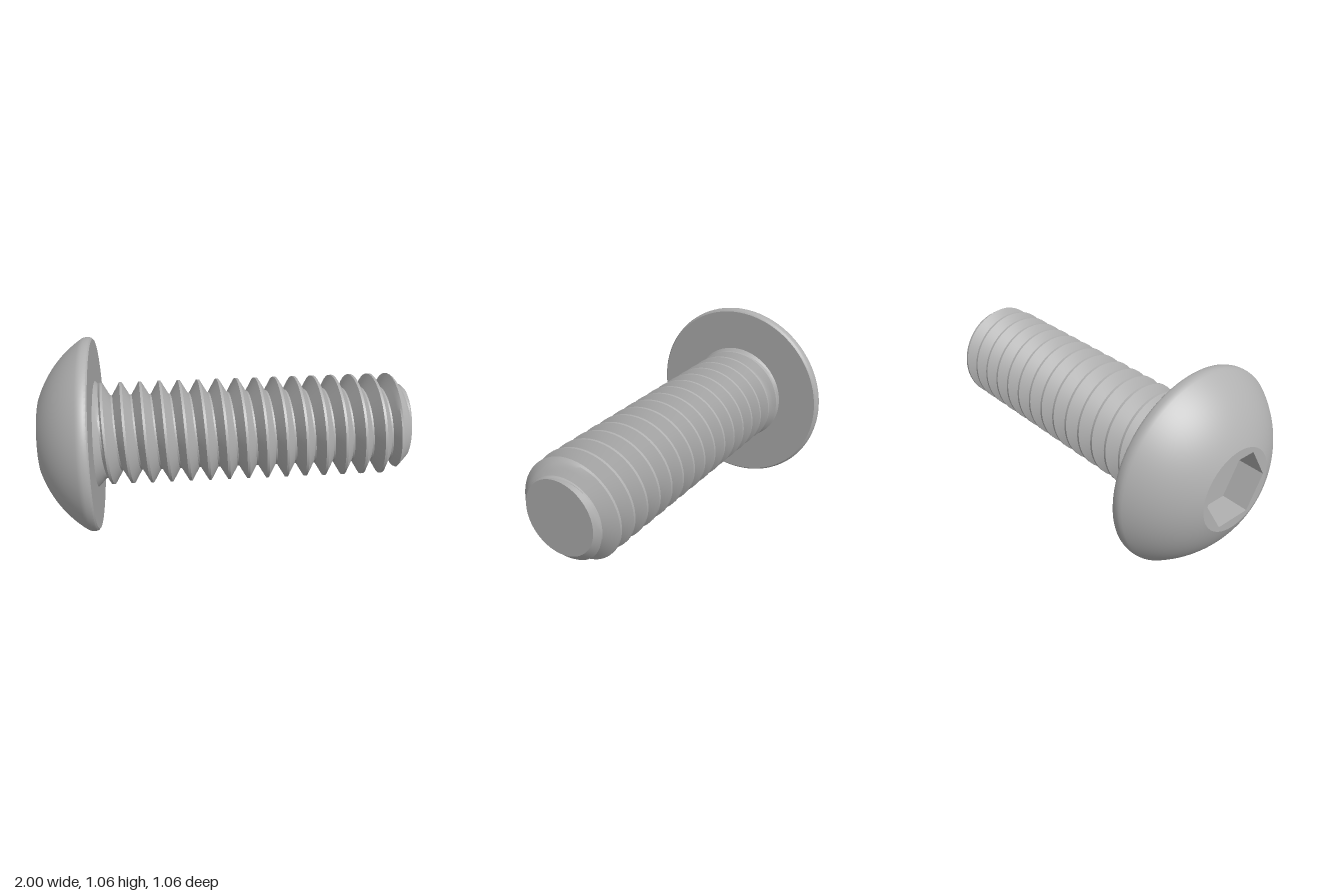
import * as THREE from 'three';
import { toCreasedNormals } from 'three/addons/utils/BufferGeometryUtils.js';

const AXIS_Y = 0.53;                    // height of the screw's axis
const FACE = -1, SEAT = -0.705, TIP = 1; // stations along x
const PITCH = 0.106, CREST = 0.28, ROOT = 0.208, CREST_HALF = 0.0066;
const ROOT_START = CREST_HALF + (CREST - ROOT) / Math.sqrt(3);
const HEX = 0.2, FACE_R = 0.225, SOCKET_DEPTH = 0.15;

// Shaft radius: 60 degree helical thread, flared under the head, chamfered at the tip
function shaftRadius(x, angle) {
  const u = (x + 0.56) / PITCH - angle / (2 * Math.PI);
  const d = Math.abs(u - Math.round(u)) * PITCH;
  let r = THREE.MathUtils.clamp(CREST - (d - CREST_HALF) * Math.sqrt(3), ROOT, CREST);
  r = Math.max(r, 0.29 - (x - SEAT));
  return Math.min(r, 0.2 + (TIP - x));
}

// Grid whose rows follow the helix, so that crests and roots stay crisp
function shaftGeometry() {
  const half = [CREST_HALF];
  for (let i = 1; i <= 4; i++) half.push(CREST_HALF + (ROOT_START - CREST_HALF) * i / 4);
  const offsets = [...half.map(d => -d).reverse(), ...half];
  const rows = [];
  for (let turn = -3; turn <= 16; turn++) {
    for (const o of offsets) rows.push(-0.56 + turn * PITCH + o);
  }
  const segs = 80, n = rows.length, pos = [], index = [];
  for (let j = 0; j <= segs; j++) {
    const a = j / segs * Math.PI * 2;
    for (const row of rows) {
      const x = THREE.MathUtils.clamp(row + PITCH * j / segs, SEAT, TIP);
      const r = shaftRadius(x, a);
      pos.push(x, r * Math.cos(a), r * Math.sin(a));
    }
  }
  for (let j = 0; j < segs; j++) {
    for (let i = 0; i < n - 1; i++) {
      const a = j * n + i, b = a + n;
      if (pos[b * 3] !== pos[b * 3 + 3]) index.push(a, b, b + 1);
      if (pos[a * 3] !== pos[a * 3 + 3]) index.push(a, b + 1, a + 1);
    }
  }
  const g = new THREE.BufferGeometry();
  g.setAttribute('position', new THREE.Float32BufferAttribute(pos, 3));
  g.setIndex(index);
  return toCreasedNormals(g, 0.5);
}

// Domed head with a rounded rim and a flat underside
function headGeometry() {
  const dome = new THREE.QuadraticBezierCurve(
    new THREE.Vector2(FACE_R, FACE),
    new THREE.Vector2(0.412, -0.927),
    new THREE.Vector2(0.52, -0.767));
  const rim = [[0.527, -0.755], [0.53, -0.742], [0.53, -0.725], [0.527, -0.713], [0.518, SEAT], [0.2, SEAT]];
  const pts = [...dome.getPoints(20), ...rim.map(p => new THREE.Vector2(...p))];
  return toCreasedNormals(new THREE.LatheGeometry(pts, 96).rotateZ(-Math.PI / 2), 0.6);
}

// Flat end of the head around the hexagonal opening
function headFaceGeometry() {
  const shape = new THREE.Shape().absarc(0, 0, FACE_R, 0, Math.PI * 2);
  const hole = [];
  for (let i = 0; i < 6; i++) {
    const a = -i * Math.PI / 3;
    hole.push(new THREE.Vector2(HEX * Math.cos(a), HEX * Math.sin(a)));
  }
  shape.holes.push(new THREE.Path(hole));
  return new THREE.ShapeGeometry(shape, 96).rotateY(-Math.PI / 2).translate(FACE, 0, 0);
}

// Inward-facing hexagonal walls
function socketWallGeometry() {
  const g = new THREE.CylinderGeometry(HEX, HEX, SOCKET_DEPTH, 6, 1, true)
    .scale(-1, 1, 1).rotateZ(Math.PI / 2)
    .translate(FACE + SOCKET_DEPTH / 2, 0, 0).toNonIndexed();
  g.computeVertexNormals();
  return g;
}

export function createModel() {
  const steel = new THREE.MeshStandardMaterial({ color: 0xb0b0b0 });
  steel.name = 'steel grey';
  const screw = new THREE.Group();
  screw.name = 'buttonHeadScrew';
  const add = (name, geometry) => {
    const mesh = new THREE.Mesh(geometry, steel);
    mesh.name = name;
    mesh.position.y = AXIS_Y;
    screw.add(mesh);
  };

  add('head', headGeometry());
  add('headFace', headFaceGeometry());
  add('socketWalls', socketWallGeometry());
  add('socketFloor', new THREE.CircleGeometry(HEX, 6)
    .rotateY(-Math.PI / 2).translate(FACE + SOCKET_DEPTH, 0, 0));
  add('threadedShaft', shaftGeometry());
  add('shaftTip', new THREE.CircleGeometry(0.2, 80).rotateY(Math.PI / 2).translate(TIP, 0, 0));
  return screw;
}
